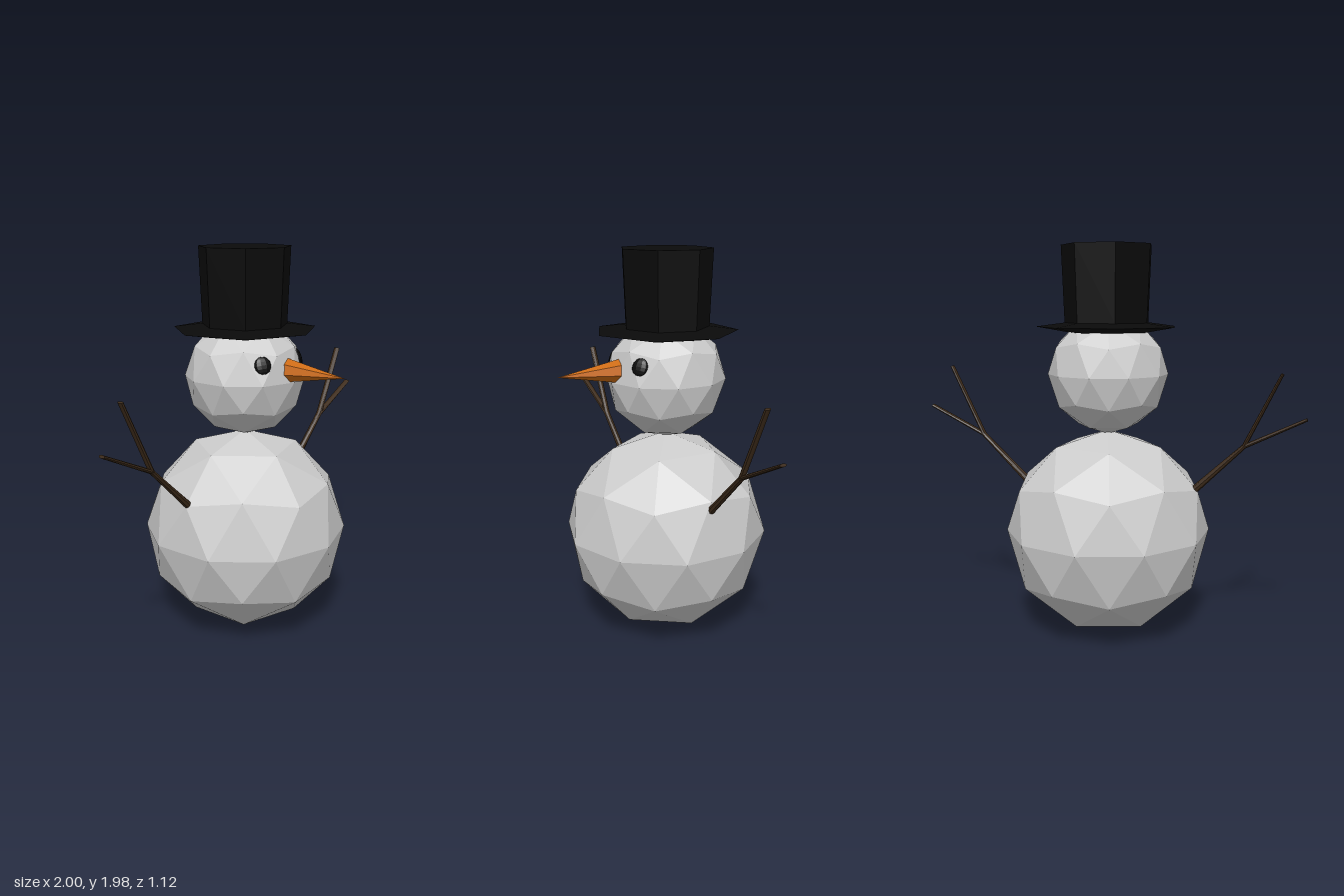
import * as THREE from 'three';

const AXIS_Z = -0.035; // every main part stands on this vertical axis

const flat = (color) => new THREE.MeshStandardMaterial({ color, flatShading: true });

function part(name, geometry, material, x = 0, y = 0, z = 0) {
  const mesh = new THREE.Mesh(geometry, material);
  mesh.name = name;
  mesh.position.set(x, y, z);
  return mesh;
}

// Faceted ball with a corner straight up and an upper ring corner towards -x
function snowball(radius) {
  const tilt = Math.atan(2 / (1 + Math.sqrt(5)));
  return new THREE.IcosahedronGeometry(radius, 1).rotateZ(tilt);
}

// Stick in the xy plane: constant depth, in-plane width tapering from w0 to w1
function stick(name, [x0, y0], [x1, y1], w0, w1, material) {
  const length = Math.hypot(x1 - x0, y1 - y0);
  const geometry = new THREE.CylinderGeometry(1, 1, length, 8);
  const p = geometry.attributes.position;
  for (let i = 0; i < p.count; i++) {
    const t = p.getY(i) / length + 0.5;
    p.setX(i, p.getX(i) * THREE.MathUtils.lerp(w0, w1, t));
    p.setZ(i, p.getZ(i) * 0.018);
  }
  geometry.rotateZ(Math.atan2(y1 - y0, x1 - x0) - Math.PI / 2);
  return part(name, geometry, material, (x0 + x1) / 2, (y0 + y1) / 2, 0);
}

export function createModel() {
  const model = new THREE.Group();
  model.name = 'snowman';
  const snow = flat(0xcccccc);
  const black = flat(0x0a0a0a);
  const orange = flat(0xcc6a10);
  const wood = flat(0x3d2b1a);

  // Two stacked snowballs
  model.add(part('body', snowball(0.525), snow, 0, 0.53, AXIS_Z));
  model.add(part('head', snowball(0.305), snow, 0, 1.34, AXIS_Z));

  // Seven-sided top hat: thin-edged brim and flaring crown
  const hatProfile = [
    [0, 1.55], [0.21, 1.55], [0.368, 1.577], [0.22, 1.597], [0.236, 1.98], [0, 1.98],
  ].map(([r, y]) => new THREE.Vector2(r, y));
  model.add(part('hat', new THREE.LatheGeometry(hatProfile, 7), black, 0, 0, AXIS_Z));

  // Carrot nose with one corner on top
  const noseLength = 0.335;
  const nose = new THREE.ConeGeometry(0.062, noseLength, 7);
  nose.rotateY(Math.PI).rotateX(Math.PI / 2);
  model.add(part('nose', nose, orange, 0, 1.395, 0.555 - noseLength / 2));

  for (const side of [1, -1]) {
    const label = side > 0 ? 'left' : 'right';

    // Coal eye: flattened ball facing outward from the head
    const eye = part(label + 'Eye', new THREE.SphereGeometry(0.045, 10, 8), black, side * 0.148, 1.435, 0.188);
    eye.scale.z = 0.4;
    const outward = new THREE.Vector3(side * 0.15, 0.09, 0.225).normalize();
    eye.quaternion.setFromUnitVectors(new THREE.Vector3(0, 0, 1), outward);
    model.add(eye);

    // Forked twig arm
    const arm = new THREE.Group();
    arm.name = label + 'Arm';
    arm.position.z = AXIS_Z;
    const fork = [side * 0.695, 1.0];
    arm.add(
      stick('upperArm', [side * 0.447, 0.764], fork, 0.02, 0.012, wood),
      stick('upperTwig', fork, [side * 0.873, 1.36], 0.011, 0.008, wood),
      stick('lowerTwig', fork, [side * 0.995, 1.145], 0.011, 0.008, wood),
    );
    model.add(arm);
  }
  return model;
}
